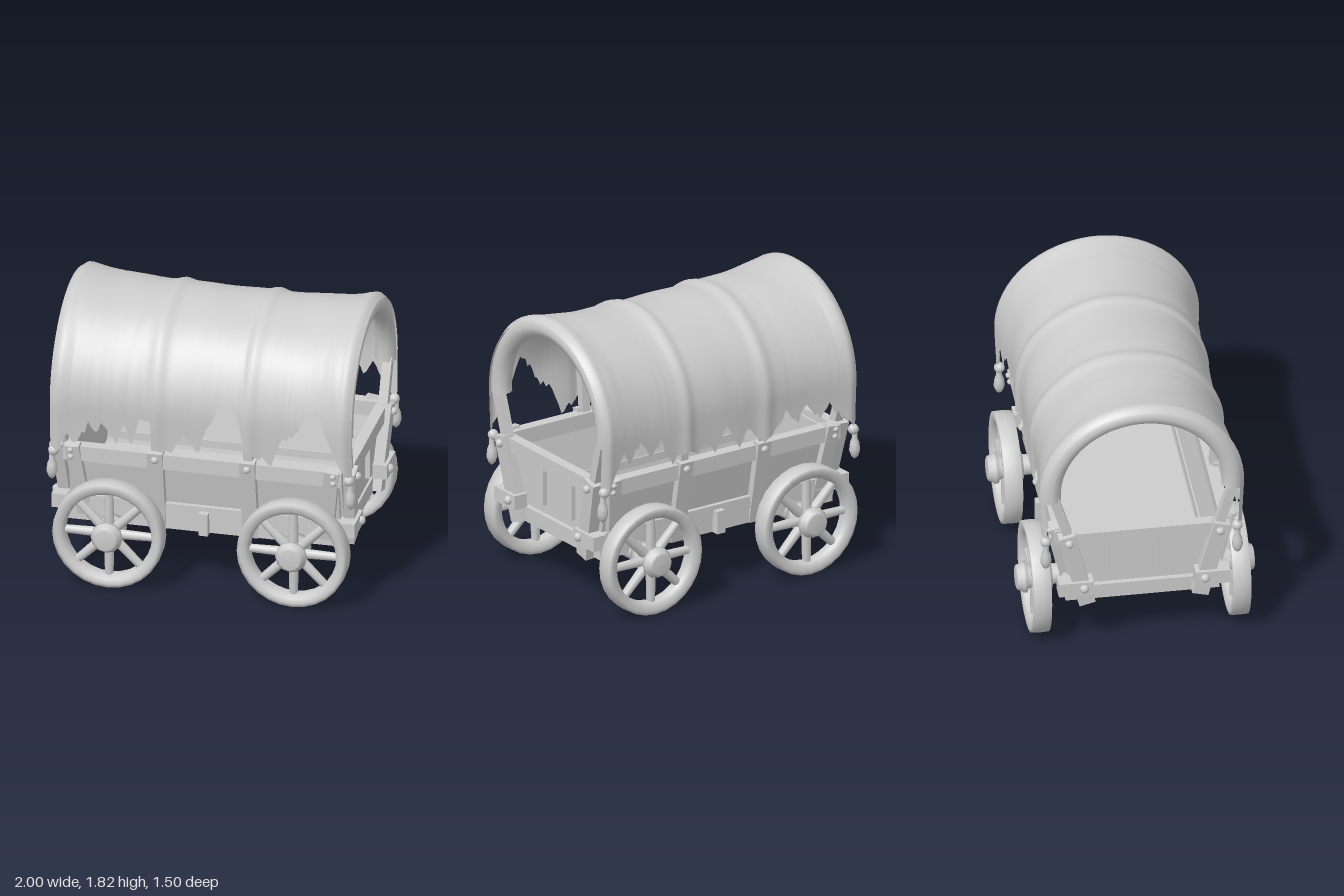
import * as THREE from 'three';

const V = (x, y, z) => new THREE.Vector3(x, y, z);

export function createModel() {
  const root = new THREE.Group();
  const grey = new THREE.MeshStandardMaterial({ color: 0xcccccc });
  grey.name = 'plain grey';
  const cloth = new THREE.MeshStandardMaterial({ color: 0xcccccc, side: THREE.DoubleSide });
  cloth.name = 'canvas grey';

  const add = (name, geo, parent = root, mat = grey) => {
    const m = new THREE.Mesh(geo, mat);
    m.name = name;
    parent.add(m);
    return m;
  };
  const box = (name, w, h, d, x, y, z, parent) => {
    const m = add(name, new THREE.BoxGeometry(w, h, d), parent);
    m.position.set(x, y, z);
    return m;
  };
  // Beam from a to b; w is its size along world x, d its size across
  const beam = (name, a, b, w, d) => {
    const m = add(name, new THREE.BoxGeometry(w, a.distanceTo(b), d));
    const dir = b.clone().sub(a).normalize();
    const across = V(1, 0, 0).cross(dir).normalize();
    m.quaternion.setFromRotationMatrix(
      new THREE.Matrix4().makeBasis(dir.clone().cross(across), dir, across));
    m.position.copy(a).add(b).multiplyScalar(0.5);
    return m;
  };
  // Round-headed bolt facing along an axis
  const bolt = (x, y, z, axis, r = 0.026) => {
    const m = add('bolt', new THREE.SphereGeometry(r, 10, 6));
    m.scale.y = 0.9;
    m.position.set(x, y, z);
    if (axis === 'x') m.rotation.z = Math.PI / 2; else m.rotation.x = Math.PI / 2;
  };

  // Bed and floor
  box('bed', 1.76, 0.1, 0.97, 0, 0.41, 0);

  // Side walls with rails, posts and hoop stems
  for (const s of [-1, 1]) {
    beam('sidePanel', V(0, 0.46, 0.44 * s), V(0, 0.85, 0.515 * s), 1.72, 0.03);
    box('topRail', 1.78, 0.1, 0.075, 0, 0.85, 0.522 * s);
    box('lowerRail', 1.9, 0.08, 0.07, 0, 0.5, 0.465 * s);
    box('sideBracket', 0.06, 0.15, 0.06, 0, 0.435, 0.51 * s);
    for (const x of [-0.3, 0.29]) {
      beam('sidePost', V(x, 0.36, 0.455 * s), V(x, 0.92, 0.56 * s), 0.1, 0.06);
      beam('hoopStem', V(x, 0.88, 0.53 * s), V(x, 1.25, 0.565 * s), 0.055, 0.05);
      bolt(x, 0.87, 0.58 * s, 'z');
    }
    for (const e of [-1, 1]) {
      beam('cornerSidePost', V(0.77 * e, 0.4, 0.455 * s), V(0.83 * e, 0.91, 0.555 * s), 0.09, 0.06);
      beam('endHoopStem', V(0.91 * e, 0.88, 0.475 * s), V(0.92 * e, 1.21, 0.575 * s), 0.06, 0.06);
      bolt(0.84 * e, 0.88, 0.58 * s, 'z', 0.02);
      bolt(0.84 * e, 0.83, 0.57 * s, 'z', 0.02);
    }
  }

  // End walls
  for (const e of [-1, 1]) {
    const panel = new THREE.Shape([[-0.42, 0.48], [0.42, 0.48], [0.5, 0.85], [-0.5, 0.85]]
      .map(([z, y]) => new THREE.Vector2(z, y)));
    const pm = add('endPanel', new THREE.ExtrudeGeometry(panel, { depth: 0.03, bevelEnabled: false }));
    pm.rotation.y = Math.PI / 2;
    pm.position.x = 0.86 * e - 0.015;
    box('endRail', 0.07, 0.095, 1.02, 0.895 * e, 0.845, 0);
    for (const z of [0.14, -0.17]) box('endSlat', 0.04, 0.28, 0.075, 0.885 * e, 0.68, z);
    for (const s of [-1, 1]) {
      beam('endPost', V(0.9 * e, 0.36, 0.355 * s), V(0.935 * e, 0.9, 0.49 * s), 0.07, 0.105);
      box('cornerBlock', 0.1, 0.095, 0.22, 0.92 * e, 0.5, 0.43 * s);
      bolt(0.975 * e, 0.505, 0.38 * s, 'x', 0.03);
      bolt(0.975 * e, 0.855, 0.475 * s, 'x', 0.028);

      // Tied cord with a hanging tassel
      const cz = s > 0 ? 0.585 : -0.62;
      const knot = add('cordKnot', new THREE.SphereGeometry(0.035, 10, 8));
      knot.position.set(0.945 * e, 0.87, cz);
      const drop = [[0, 0.67], [0.022, 0.69], [0.036, 0.73], [0.03, 0.78], [0.018, 0.81], [0.02, 0.88]];
      const t = add('tassel', new THREE.LatheGeometry(drop.map(([r, y]) => new THREE.Vector2(r, y)), 10));
      t.position.set(0.955 * e, 0, cz);
    }
  }

  // Axles and spoked wheels
  const turned = (pts, seg) => new THREE.LatheGeometry(
    pts.map(([r, y]) => new THREE.Vector2(r, y)), seg).rotateX(Math.PI / 2);
  for (const x of [-0.58, 0.6]) {
    const axle = add('axle', new THREE.CylinderGeometry(0.066, 0.066, 1.16, 14));
    axle.rotation.x = Math.PI / 2;
    axle.position.set(x, 0.36, 0);
    for (const s of [-1, 1]) {
      const wheel = new THREE.Group();
      wheel.name = 'wheel';
      wheel.position.set(x, 0.355, s > 0 ? 0.622 : -0.632);
      if (s < 0) wheel.rotation.y = Math.PI;
      root.add(wheel);
      add('rim', turned([[0.28, -0.035], [0.3, -0.053], [0.33, -0.059], [0.352, -0.055], [0.355, 0],
        [0.352, 0.055], [0.33, 0.059], [0.3, 0.053], [0.28, 0.035], [0.274, 0], [0.28, -0.035]], 28), wheel);
      add('hub', turned([[0, -0.1], [0.09, -0.1], [0.09, -0.05], [0.075, -0.04], [0.075, 0.05],
        [0.1, 0.055], [0.1, 0.08], [0.085, 0.09], [0.08, 0.115], [0.065, 0.122], [0, 0.124]], 12), wheel);
      for (let i = 0; i < 8; i++) {
        const a = i * Math.PI / 4;
        const spoke = add('spoke', new THREE.CylinderGeometry(0.027, 0.033, 0.24, 8), wheel);
        spoke.position.set(-Math.sin(a) * 0.18, Math.cos(a) * 0.18, 0);
        spoke.rotation.z = a;
      }
    }
  }

  // Canopy of hoops and canvas, set slightly back
  const canopy = new THREE.Group();
  canopy.name = 'canopy';
  canopy.position.z = -0.012;
  root.add(canopy);

  // Bent hoops: thick rolled ones at the ends, thin ones under the canvas
  for (const [x, R, r] of [[-0.9, 0.55, 0.066], [-0.3, 0.55, 0.03], [0.29, 0.55, 0.03], [0.9, 0.55, 0.066]]) {
    const pts = [V(x, 1.16, R * 1.035)];
    for (let i = 0; i <= 16; i++) {
      const a = i / 16 * Math.PI;
      pts.push(V(x, 1.2 + R * Math.sin(a), R * 1.04 * Math.cos(a)));
    }
    pts.push(V(x, 1.16, -R * 1.035));
    add('hoop', new THREE.TubeGeometry(new THREE.CatmullRomCurve3(pts), 48, r, 10), canopy);
  }

  // Canvas cover: arched strips that end in a torn hem on both sides
  const hemFront = [[-0.97, 0.86], [-0.9, 0.9], [-0.86, 1.0], [-0.8, 0.93], [-0.72, 1.08], [-0.68, 1.0],
    [-0.63, 1.1], [-0.55, 0.95], [-0.5, 1.1], [-0.45, 0.93], [-0.4, 1.15], [-0.33, 1.13], [-0.28, 0.92],
    [-0.2, 0.92], [-0.12, 1.08], [-0.03, 0.94], [0.03, 1.1], [0.1, 1.29], [0.23, 1.25], [0.27, 1.0],
    [0.34, 0.97], [0.45, 0.92], [0.52, 1.1], [0.6, 1.14], [0.66, 1.26], [0.74, 1.34], [0.78, 1.2],
    [0.85, 1.05], [0.9, 0.94], [0.97, 0.87]];
  const hemBack = [[-0.97, 0.87], [-0.88, 0.95], [-0.76, 1.08], [-0.7, 0.98], [-0.6, 1.12], [-0.54, 1.0],
    [-0.46, 1.1], [-0.36, 0.98], [-0.28, 0.92], [-0.18, 1.04], [-0.1, 0.95], [0, 1.08], [0.08, 0.96],
    [0.16, 1.03], [0.22, 0.94], [0.32, 1.0], [0.42, 0.94], [0.5, 1.1], [0.58, 1.02], [0.66, 1.15],
    [0.74, 1.03], [0.82, 1.1], [0.88, 0.95], [0.97, 0.86]];
  const hemAt = (hem, x) => {
    const i = Math.max(1, hem.findIndex(p => p[0] >= x));
    const [a, b] = [hem[i - 1], hem[i]];
    return a[1] + (b[1] - a[1]) * (x - a[0]) / (b[0] - a[0]);
  };
  let seed = 7;
  const rand = () => (seed = (seed * 16807) % 2147483647) / 2147483647 - 0.5;
  const NX = 96, NS = 44, pos = [], idx = [];
  for (let i = 0; i <= NX; i++) {
    const x = -0.965 + 1.93 * i / NX, ax = Math.abs(x);
    const R = 0.576 + 0.055 * Math.pow(ax / 0.92, 4) + 0.018 * Math.exp(-(((ax - 0.3) / 0.045) ** 2))
      - 0.045 * Math.max(0, (ax - 0.92) / 0.045);
    const toS = y => y > 1.2 ? Math.asin((y - 1.2) / R) : (y - 1.2) / R;
    const s0 = toS(hemAt(hemFront, x) + 0.05 * rand());
    const s1 = Math.PI - toS(hemAt(hemBack, x) + 0.05 * rand());
    for (let j = 0; j <= NS; j++) {
      const s = s0 + (s1 - s0) * j / NS;
      const c = Math.min(Math.PI, Math.max(0, s));      // part on the arch
      const drop = Math.abs(s - c);                     // part hanging below it
      const fold = ax < 0.85 ? 0.005 : 0.001;
      const r = R + fold * Math.sin(5 * s + 9 * x) * Math.sin(7 * x - 2 * s);
      pos.push(x, 1.2 + (r - 0.003) * Math.sin(c) - drop * R,
        ((r + 0.017) - 0.03 * drop) * Math.cos(c));
      if (i < NX && j < NS) {
        const a = i * (NS + 1) + j, b = a + NS + 1;
        idx.push(a, b, a + 1, b, b + 1, a + 1);
      }
    }
  }
  const canvas = new THREE.BufferGeometry();
  canvas.setAttribute('position', new THREE.Float32BufferAttribute(pos, 3));
  canvas.setIndex(idx);
  canvas.computeVertexNormals();
  add('canvasCover', canvas, canopy, cloth);

  return root;
}
